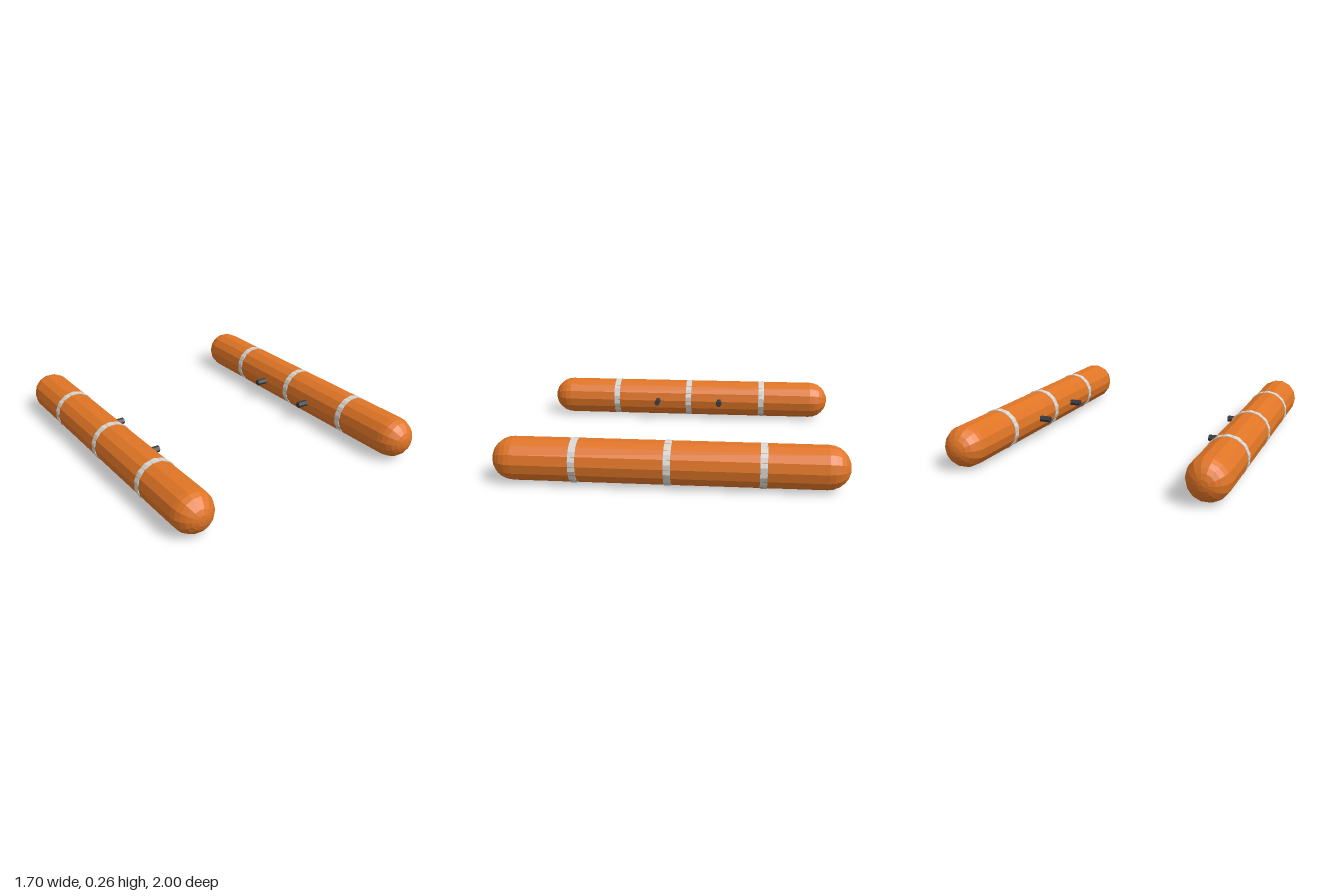
import * as THREE from 'three';

const RADIUS = 0.125, BAND_RADIUS = 0.128, CENTRE_X = 0.725, SIDES = 14;

function material(name, color) {
  const m = new THREE.MeshStandardMaterial({ color, flatShading: true });
  m.name = name;
  return m;
}

export function createModel() {
  const orange = material('float orange', 0xe07526);
  const silver = material('band light grey', 0xd6d6d4);
  const dark = material('lug dark grey', 0x3a3b42);

  // Shared shapes: the float and bands run along z, the lugs along x
  const floatGeo = new THREE.CapsuleGeometry(RADIUS, 2 - 2 * RADIUS, 6, SIDES).rotateX(Math.PI / 2);
  const bandGeo = new THREE.CylinderGeometry(BAND_RADIUS, BAND_RADIUS, 0.04, SIDES).rotateX(Math.PI / 2);
  const lugGeo = new THREE.CylinderGeometry(0.02, 0.02, 0.12, 6).rotateZ(Math.PI / 2);

  const model = new THREE.Group();
  model.name = 'floatPair';

  for (const side of [1, -1]) {
    const unit = new THREE.Group();
    unit.name = side > 0 ? 'leftFloat' : 'rightFloat';
    unit.position.set(side * CENTRE_X, BAND_RADIUS, 0);

    const add = (name, geometry, mat, x, z) => {
      const mesh = new THREE.Mesh(geometry, mat);
      mesh.name = name;
      mesh.position.set(x, 0, z);
      unit.add(mesh);
    };

    add('floatTube', floatGeo, orange, 0, 0);
    // Three reflective bands around the tube
    for (const z of [-0.525, 0, 0.525]) add('band', bandGeo, silver, 0, z);
    // Two mounting lugs on the inner side
    for (const z of [-0.222, 0.222]) add('mountingLug', lugGeo, dark, -side * 0.132, z);

    model.add(unit);
  }
  return model;
}
